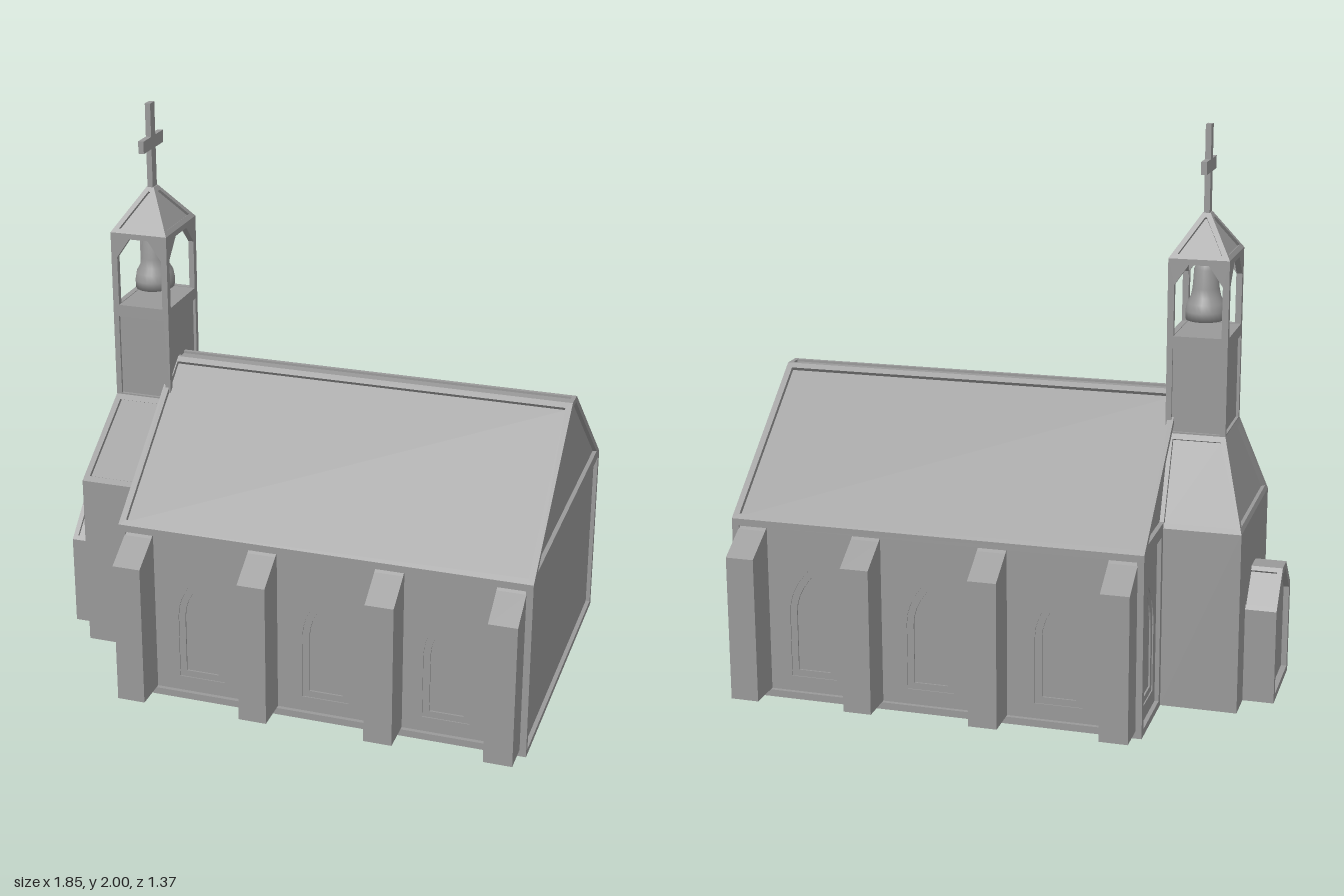
import * as THREE from 'three';

const STONE = 0x999999;
const mat = new THREE.MeshStandardMaterial({ color: STONE, flatShading: true, side: THREE.DoubleSide });
const smooth = new THREE.MeshStandardMaterial({ color: STONE, side: THREE.DoubleSide });
const V = (x, y, z) => new THREE.Vector3(x, y, z);

export function createModel() {
  const root = new THREE.Group();

  function add(name, geo, parent = root, m = mat) {
    const mesh = new THREE.Mesh(geo, m);
    mesh.name = name;
    parent.add(mesh);
    return mesh;
  }

  function box(name, x0, x1, y0, y1, z0, z1) {
    const mesh = add(name, new THREE.BoxGeometry(x1 - x0, y1 - y0, z1 - z0));
    mesh.position.set((x0 + x1) / 2, (y0 + y1) / 2, (z0 + z1) / 2);
  }

  // Shrinks a convex counter-clockwise outline by a constant border
  function inset(pts, b) {
    return pts.map((p, i) => {
      const e0 = p.clone().sub(pts[(i + pts.length - 1) % pts.length]).normalize();
      const e1 = pts[(i + 1) % pts.length].clone().sub(p).normalize();
      const n0 = new THREE.Vector2(-e0.y, e0.x), n1 = new THREE.Vector2(-e1.y, e1.x);
      return p.clone().add(n0.clone().add(n1).multiplyScalar(b / (1 + n0.dot(n1))));
    });
  }

  // Band of faces between two outlines at different depths
  function band(a, za, b, zb) {
    const pos = [];
    a.forEach((p, i) => {
      const j = (i + 1) % a.length, q = a[j], r = b[j], s = b[i];
      pos.push(p.x, p.y, za, q.x, q.y, za, r.x, r.y, zb, p.x, p.y, za, r.x, r.y, zb, s.x, s.y, zb);
    });
    const g = new THREE.BufferGeometry();
    g.setAttribute('position', new THREE.Float32BufferAttribute(pos, 3));
    g.computeVertexNormals();
    return g;
  }

  function fill(outline, holes, z) {
    const shape = new THREE.Shape(outline);
    shape.holes = holes.map(h => new THREE.Path(h));
    return new THREE.ShapeGeometry(shape).translate(0, 0, z);
  }

  // Pointed arch outline standing on (cx, cy)
  function arch(cx, cy) {
    const w = 0.084, spring = 0.24, h = 0.41, right = [], n = 5;
    for (let i = 0; i < n; i++) {
      const t = i / n;
      right.push([w * (1 - t * t), spring + (h - spring) * t]);
    }
    const left = right.map(([x, y]) => [-x, y]).reverse();
    return [[-w, 0], [w, 0], ...right, [0, h], ...left].map(([x, y]) => new THREE.Vector2(cx + x, cy + y));
  }

  // Flat face with a raised border, a recessed field and optional arched windows
  function panel(name, pts, border = 0.025, depth = 0.015, windows = []) {
    const group = new THREE.Group();
    group.name = name;
    const u = pts[1].clone().sub(pts[0]).normalize();
    const n = u.clone().cross(pts[2].clone().sub(pts[0])).normalize();
    const v = n.clone().cross(u);
    const local = p => {
      const d = p.clone().sub(pts[0]);
      return new THREE.Vector2(d.dot(u), d.dot(v));
    };
    const outer = pts.map(local);
    if (border) {
      const inner = inset(outer, border);
      const frames = windows.map(p => { const q = local(p); return arch(q.x, q.y); });
      add(name + 'Border', band(outer, 0, inner, 0), group);
      add(name + 'Step', band(inner, 0, inner, -depth), group);
      add(name + 'Field', fill(inner, frames, -depth), group);
      const zf = -depth - 0.004, zp = zf - 0.006;
      frames.forEach(f => {
        const pane = inset(f, 0.024);
        add('windowReveal', band(f, -depth, f, zf), group);
        add('windowFrame', band(f, zf, pane, zf), group);
        add('windowStep', band(pane, zf, pane, zp), group);
        add('windowPane', fill(pane, [], zp), group);
      });
    } else add(name + 'Face', fill(outer, [], 0), group);
    group.applyMatrix4(new THREE.Matrix4().makeBasis(u, v, n).setPosition(pts[0]));
    root.add(group);
  }

  // Same face on the front and, mirrored, on the back
  function pair(name, pts, border, depth, windows = []) {
    panel(name, pts, border, depth, windows);
    const flip = p => V(p.x, p.y, -p.z);
    const r = pts.map(flip).reverse();
    panel(name, [...r.slice(-2), ...r.slice(0, -2)], border, depth, windows.map(flip));
  }

  // Nave
  const X0 = -0.545, X1 = 0.92, Z = 0.575, EAVE = 0.65, RIDGE = 1.08, R = 0.035;
  pair('naveSideWall', [V(X0, 0, Z), V(X1, 0, Z), V(X1, EAVE, Z), V(X0, EAVE, Z)], 0.025, 0.015,
    [-0.252, 0.205, 0.635].map(x => V(x, 0.08, Z)));
  pair('naveRoof', [V(X0, EAVE, Z), V(X1, EAVE, Z), V(X1, RIDGE, R), V(X0, RIDGE, R)], 0.022);
  panel('roofRidge', [V(X0, RIDGE, R), V(X1, RIDGE, R), V(X1, RIDGE, -R), V(X0, RIDGE, -R)], 0.015, 0.008);
  panel('naveEndWall', [V(X1, 0, Z), V(X1, 0, -Z), V(X1, EAVE, -Z), V(X1, EAVE, Z)], 0.02);
  panel('endGable', [V(X1, EAVE, Z), V(X1, EAVE, -Z), V(X1, RIDGE, -R), V(X1, RIDGE, R)], 0.02);
  panel('towerGable', [V(X0, EAVE, -Z), V(X0, EAVE, Z), V(X0, RIDGE, R), V(X0, RIDGE, -R)], 0.02);

  // Tower base, its sloping shoulders running into the gable, and the end walls beside it
  const BX = -0.815, BZ = 0.28, TX0 = -0.727, TX1 = -0.517, TZ = 0.14, SH = 0.95, SX = X0 + 0.02;
  pair('towerEndWall', [V(X0, 0, BZ), V(X0, 0, Z), V(X0, EAVE, Z), V(X0, EAVE, BZ)], 0.025, 0.015,
    [V(X0, 0.08, (BZ + Z) / 2)]);
  pair('towerBaseSide', [V(BX, 0, BZ), V(X0, 0, BZ), V(X0, EAVE, BZ), V(BX, EAVE, BZ)], 0);
  panel('towerBaseEnd', [V(BX, 0, -BZ), V(BX, 0, BZ), V(BX, EAVE, BZ), V(BX, EAVE, -BZ)], 0);
  pair('shoulderSide', [V(BX, EAVE, BZ), V(SX, EAVE, BZ), V(SX, SH, TZ), V(TX0, SH, TZ)], 0.02);
  panel('shoulderEnd', [V(BX, EAVE, -BZ), V(BX, EAVE, BZ), V(TX0, SH, TZ), V(TX0, SH, -TZ)], 0.02);

  // Tower shaft
  const FL = 1.29, TOP = 1.56, CX = (TX0 + TX1) / 2;
  const y0 = 0.935, y1 = 1.27;
  pair('shaftSide', [V(TX0, y0, TZ), V(TX1, y0, TZ), V(TX1, y1, TZ), V(TX0, y1, TZ)], 0.02, 0.01);
  panel('shaftEnd', [V(TX0, y0, -TZ), V(TX0, y0, TZ), V(TX0, y1, TZ), V(TX0, y1, -TZ)], 0.02, 0.01);
  panel('shaftInnerEnd', [V(TX1, y0, TZ), V(TX1, y0, -TZ), V(TX1, y1, -TZ), V(TX1, y1, TZ)], 0.02, 0.01);
  box('belfryFloor', TX0, TX1, y1, FL, -TZ, TZ);

  // Belfry walls with chamfered openings
  const T = 0.02;
  function belfryWall(half, open, flat, x, z, turn) {
    const P = (a, b) => new THREE.Vector2(a, b);
    const s = new THREE.Shape([P(-half, FL), P(half, FL), P(half, TOP), P(-half, TOP)]);
    s.holes.push(new THREE.Path([P(-open, FL + 0.002), P(open, FL + 0.002), P(open, 1.47), P(flat, 1.54), P(-flat, 1.54), P(-open, 1.47)]));
    const mesh = add('belfryWall', new THREE.ExtrudeGeometry(s, { depth: T, bevelEnabled: false }).translate(0, 0, -T));
    mesh.position.set(x, 0, z);
    mesh.rotation.y = turn;
  }
  belfryWall(0.105, 0.083, 0.035, CX, TZ, 0);
  belfryWall(0.105, 0.083, 0.035, CX, -TZ, Math.PI);
  belfryWall(TZ - T, 0.115, 0.05, TX1, 0, Math.PI / 2);
  belfryWall(TZ - T, 0.115, 0.05, TX0, 0, -Math.PI / 2);

  // Spire roof
  const a = 0.014, b = 0.019, SP = 1.7;
  pair('spireSide', [V(TX0, TOP, TZ), V(TX1, TOP, TZ), V(CX + a, SP, b), V(CX - a, SP, b)], 0.018, 0.01);
  panel('spireEnd', [V(TX1, TOP, TZ), V(TX1, TOP, -TZ), V(CX + a, SP, -b), V(CX + a, SP, b)], 0.018, 0.01);
  panel('spireEnd', [V(TX0, TOP, -TZ), V(TX0, TOP, TZ), V(CX - a, SP, b), V(CX - a, SP, -b)], 0.018, 0.01);
  box('spireCap', CX - a, CX + a, SP - 0.01, SP, -b, b);

  // Cross
  box('crossPost', CX - 0.01, CX + 0.01, SP, 2, -0.019, 0.019);
  for (const s of [1, -1])
    box('crossArm', CX - 0.01, CX + 0.01, 1.838, 1.882, Math.min(s * 0.019, s * 0.088), Math.max(s * 0.019, s * 0.088));

  // Bell with a wide lip and a narrow waist
  const profile = [[0, 1.33], [0.068, 1.33], [0.069, 1.36], [0.064, 1.388], [0.052, 1.41], [0.046, 1.44],
    [0.042, 1.505], [0.032, 1.53], [0.018, 1.54], [0, 1.542]].map(p => new THREE.Vector2(...p));
  const bell = add('bell', new THREE.LatheGeometry(profile, 24), root, smooth);
  bell.position.x = CX;
  bell.scale.z = 1.15;

  // Porch, its roof running into the tower base
  const PX = -0.925, PZ = 0.16, PE = 0.34, PT = 0.46, PR = 0.04, PI = BX + 0.018;
  pair('porchSide', [V(PX, 0, PZ), V(BX, 0, PZ), V(BX, PE, PZ), V(PX, PE, PZ)], 0);
  pair('porchRoof', [V(PX, PE, PZ), V(PI, PE, PZ), V(PI, PT, PR), V(PX, PT, PR)], 0.018, 0.01);
  panel('porchRidge', [V(PX, PT, PR), V(BX, PT, PR), V(BX, PT, -PR), V(PX, PT, -PR)], 0);
  panel('porchDoor', [V(PX, 0, -PZ), V(PX, 0, PZ), V(PX, PE, PZ), V(PX, PT, PR), V(PX, PT, -PR), V(PX, PE, -PZ)], 0.025, 0.02);

  // Buttresses with sloping tops
  const side = new THREE.Shape([[0.555, 0.025], [0.686, 0.025], [0.686, 0.545], [0.575, 0.613], [0.555, 0.627]]
    .map(p => new THREE.Vector2(...p)));
  for (const x of [-0.473, -0.02, 0.43, 0.847])
    for (const s of [1, -1]) {
      const geo = new THREE.ExtrudeGeometry(side, { depth: 0.1, bevelEnabled: false }).translate(0, 0, -0.05);
      const mesh = add('buttress', geo);
      mesh.rotation.y = -s * Math.PI / 2;
      mesh.position.x = x;
    }
  return root;
}
